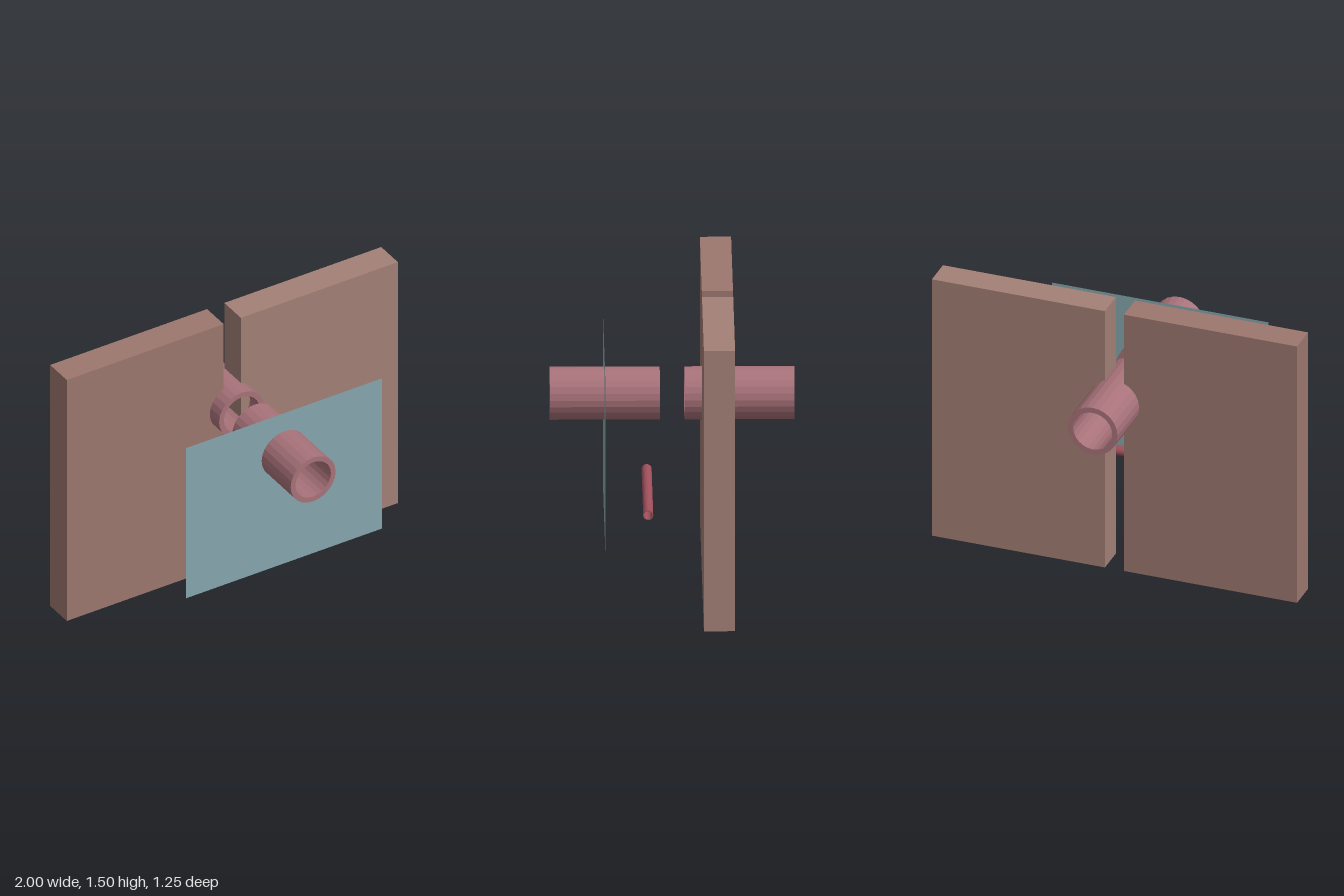
import * as THREE from 'three';

const mat = (color, side = THREE.FrontSide) =>
  new THREE.MeshStandardMaterial({ color, side, flatShading: true });

// Hollow tube along z, centred on its own origin
function tubeGeometry(outer, inner, length) {
  const ring = new THREE.Shape().absarc(0, 0, outer, 0, Math.PI * 2, false);
  ring.holes.push(new THREE.Path().absarc(0, 0, inner, 0, Math.PI * 2, true));
  const geo = new THREE.ExtrudeGeometry(ring, { depth: length, bevelEnabled: false, curveSegments: 12 });
  return geo.translate(0, 0, -length / 2);
}

export function createModel() {
  const model = new THREE.Group();
  const add = (name, geometry, material, x, y, z) => {
    const mesh = new THREE.Mesh(geometry, material);
    mesh.name = name;
    mesh.position.set(x, y, z);
    model.add(mesh);
    return mesh;
  };

  // Two upright slabs with a narrow gap between them
  const slab = new THREE.BoxGeometry(0.948, 1.5, 0.16);
  add('rightPanel', slab, mat(0x9c776f), -0.526, 0.75, -0.233);
  add('leftPanel', slab, mat(0xa28076), 0.526, 0.75, -0.233);

  // Front and back pipes on one axis
  const pipe = tubeGeometry(0.136, 0.107, 0.564);
  const pipeMat = mat(0xa8727a);
  add('frontPipe', pipe, pipeMat, 0, 0.971, 0.345);
  add('backPipe', pipe, pipeMat, 0, 0.971, -0.345);

  // Thin hollow crossbar behind the sheet
  const bar = add('crossbar', tubeGeometry(0.026, 0.021, 0.81), mat(0xa0505c), 0, 0.44, 0.126);
  bar.rotation.y = Math.PI / 2;

  // Flat sheet crossing the front pipe
  add('frontSheet', new THREE.PlaneGeometry(1.185, 0.935), mat(0x85a6ad, THREE.DoubleSide), 0, 0.752, 0.347);

  return model;
}
